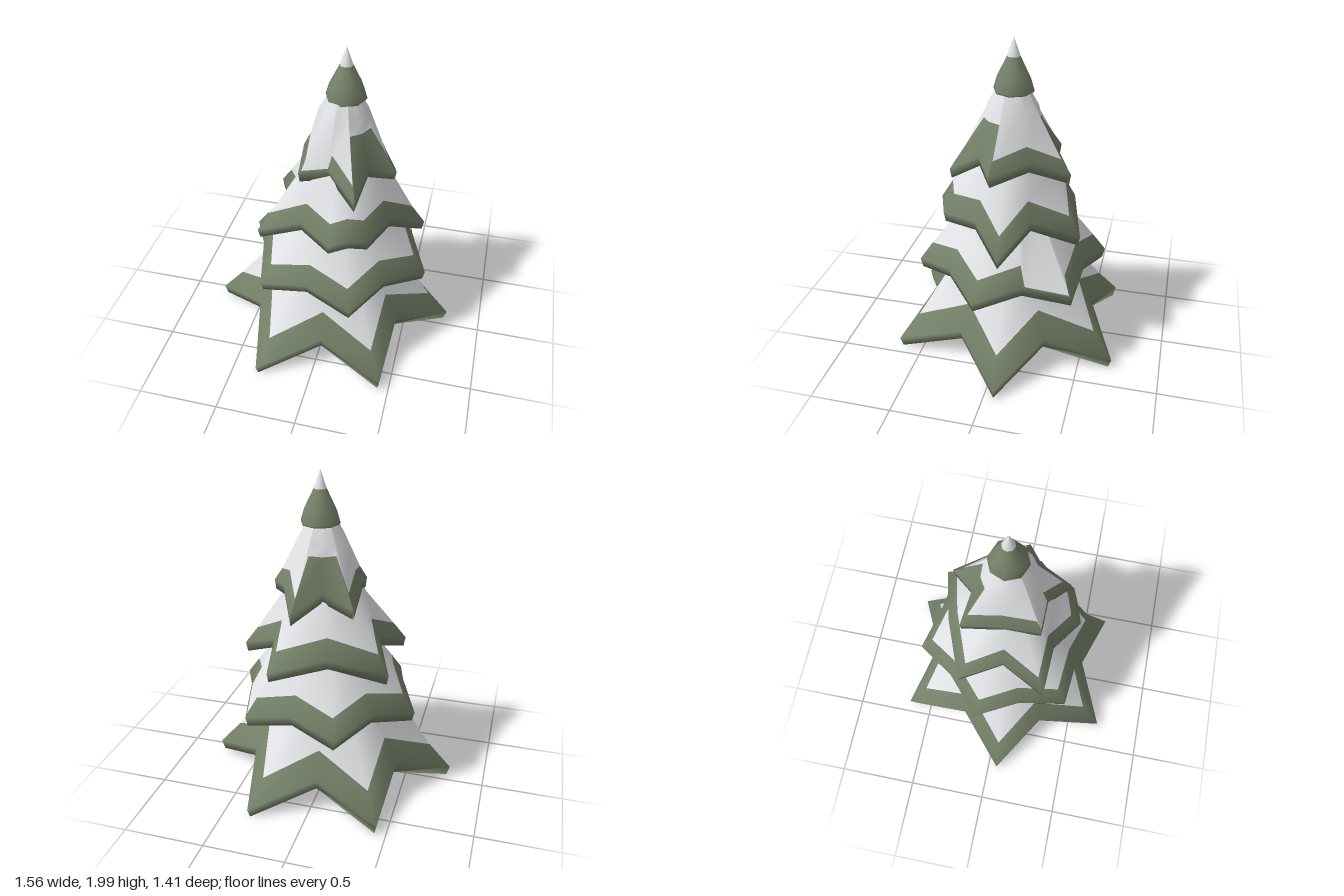
import * as THREE from 'three';

const material = (name, color) => {
  const m = new THREE.MeshStandardMaterial({ color });
  m.name = name;
  return m;
};

// Branch tips [x, z, y, dip], where dip pulls in the notch after the tip
const regularTips = (radius, startDegrees, y, dip) => Array.from({ length: 6 }, (_, i) => {
  const a = THREE.MathUtils.degToRad(startDegrees + i * 60);
  return [radius * Math.cos(a), -radius * Math.sin(a), y, dip];
});

// Rim columns around the centre: tip, notch, tip, notch...
// A patch [first, last, rule] moves the snow edge between two of them, with steep sides.
function rimColumns({ tips, notchY, snow, patches = [] }) {
  const corners = tips.flatMap(([x, z, y, dip], i) => {
    const [nx, nz] = tips[(i + 1) % tips.length];
    return [
      new THREE.Vector3(x, y, z),
      new THREE.Vector3((x + nx) / 2 * dip, notchY, (z + nz) / 2 * dip),
    ];
  });
  const columns = [];
  const add = (p, rule) => {
    const r = Math.hypot(p.x, p.z);
    columns.push({ dx: p.x / r, dz: p.z / r, r, y: p.y, snow: rule });
  };
  corners.forEach((p, k) => {
    const starting = patches.find(([first]) => k === first);
    const ending = patches.find(([, last]) => k === last);
    const inside = patches.find(([first, last]) => k > first && k < last);
    if (ending) add(p.clone().lerp(corners[k - 1], 0.06), ending[2]);
    add(p, inside ? inside[2] : snow);
    if (starting) add(p.clone().lerp(corners[k + 1], 0.06), starting[2]);
  });
  return columns;
}

// Star-shaped skirt: two neck rings, snow edge, rim, lip and underside
function tierGeometry(tier) {
  const columns = rimColumns(tier), n = columns.length;
  const [neck, waist] = tier.rings;
  const rows = [
    () => neck,
    () => waist,
    (c) => c.snow(c.r, c.y),
    (c) => [c.r, c.y],
    (c) => [c.r * 0.975, c.y - 0.06],
    () => tier.inner,
  ];
  const positions = [], index = [];
  rows.forEach((row, i) => columns.forEach((c, j) => {
    const [r, y] = row(c);
    positions.push(c.dx * r, y, c.dz * r);
    if (i === rows.length - 1) return;
    const a = i * n + j, b = i * n + (j + 1) % n;
    index.push(a, a + n, b, b, a + n, b + n);
  }));
  const g = new THREE.BufferGeometry();
  g.setAttribute('position', new THREE.Float32BufferAttribute(positions, 3));
  g.setIndex(index);
  g.addGroup(0, 2 * n * 6, 0);
  g.addGroup(2 * n * 6, 3 * n * 6, 1);
  g.computeVertexNormals();
  return g;
}

const snowRule = (scale, rise) => (r, y) => [r * scale, y + rise];
const bareRule = () => [0.167, 1.53];

const bottomTier = {
  rings: [[0.25, 0.88], [0.38, 0.56]], inner: [0.1, 0.48],
  tips: regularTips(0.783, 4.4, 0.07, 0.77), notchY: 0.225, snow: snowRule(0.82, 0.16),
};
const lowerTier = {
  rings: [[0.2, 1.18], [0.34, 0.9]], inner: [0.27, 0.7],
  tips: regularTips(0.597, -11, 0.56, 0.94), notchY: 0.63, snow: snowRule(0.86, 0.115),
  patches: [[1, 2, snowRule(0.985, 0.01)]],
};
const middleTier = {
  rings: [[0.15, 1.45], [0.265, 1.22]], inner: [0.2, 1.03],
  tips: [
    [0.52, -0.04, 0.85, 0.73], [0.22, -0.465, 0.89, 1.05], [-0.46, -0.25, 0.86, 0.75],
    [-0.46, 0.29, 0.86, 0.83], [0.02, 0.44, 0.95, 1], [0.24, 0.36, 0.96, 0.88],
  ],
  notchY: 0.98, snow: snowRule(0.84, 0.115),
};
const upperTier = {
  rings: [[0.08, 1.73], [0.155, 1.59]], inner: [0.15, 1.37],
  tips: [
    [0.14, 0.35, 1.21, 0.77], [0.33, 0.06, 1.27, 0.95], [0.09, -0.37, 1.23, 0.7],
    [-0.26, -0.25, 1.26, 1.03], [-0.22, 0.23, 1.28, 0.8],
  ],
  notchY: 1.33, snow: snowRule(0.83, 0.085),
  patches: [[0, 2, bareRule], [4, 6, bareRule], [8, 9, snowRule(0.97, 0.015)]],
};

export function createModel() {
  const tree = new THREE.Group();
  tree.name = 'snowyTree';
  const snow = material('snow', 0xe6e7ea);
  const green = material('needles', 0x76826a);
  const bark = material('bark', 0x74605a);

  const add = (name, geometry, mat, x, z) => {
    const mesh = new THREE.Mesh(geometry, mat);
    mesh.name = name;
    mesh.position.set(x, 0, z);
    tree.add(mesh);
    return mesh;
  };
  const lathe = (points, sides) =>
    new THREE.LatheGeometry(points.map(([r, y]) => new THREE.Vector2(r, y)), sides);

  // Four tiers, leaning slightly to one side as they rise
  add('bottomBranches', tierGeometry(bottomTier), [snow, green], 0, 0);
  add('lowerBranches', tierGeometry(lowerTier), [snow, green], 0.03, -0.01);
  add('middleBranches', tierGeometry(middleTier), [snow, green], 0.05, 0);
  add('upperBranches', tierGeometry(upperTier), [snow, green], 0.06, -0.01);

  // Pointed treetop with a snow cap
  add('treetop', lathe([[0, 1.73], [0.08, 1.72], [0.115, 1.685], [0.121, 1.695], [0.1, 1.765], [0.039, 1.89]], 8),
    green, 0.068, -0.02);
  add('treetopSnow', lathe([[0.039, 1.89], [0, 2]], 8), snow, 0.068, -0.02);

  // Trunk flaring at the foot, with a snow mound around it
  const trunk = add('trunk', lathe([[0, 0.065], [0.18, 0.065], [0.165, 0.11], [0.12, 0.18], [0.105, 0.55]], 7),
    bark, -0.02, 0);
  trunk.rotation.z = -0.03;
  add('snowMound', lathe([[0.14, 0.08], [0.2, 0.085], [0.25, 0.105], [0.26, 0.12], [0.2, 0.16], [0.1, 0.18]], 20),
    snow, -0.04, 0.01);

  return tree;
}
